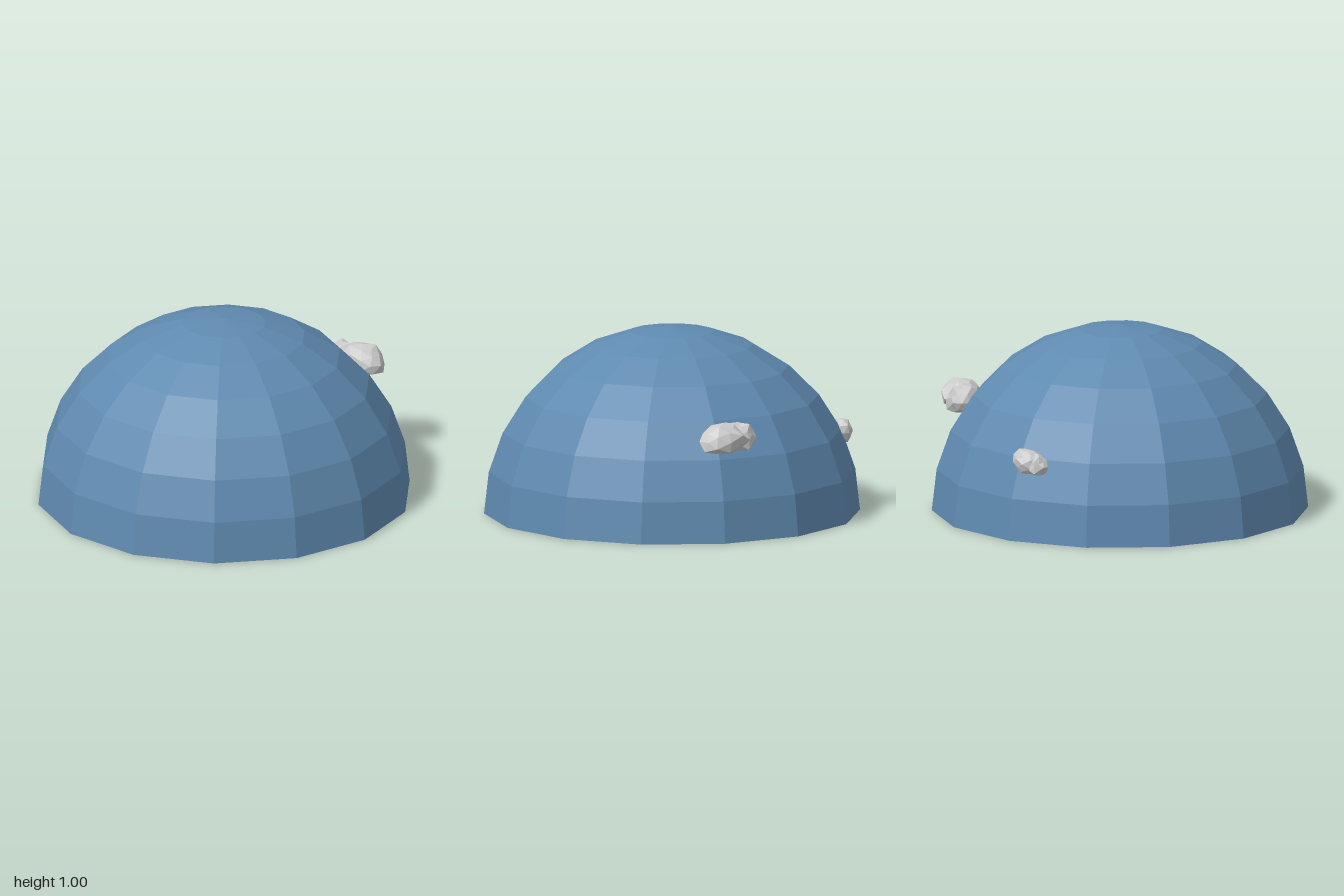
import * as THREE from 'three';

const rockMaterial = new THREE.MeshStandardMaterial({ color: 0xcccccc, flatShading: true });

// Repeatable value in 0..1 for a direction, so that shared corners move together
function hash(v, seed) {
  const s = Math.sin(Math.round(v.x * 100) * 12.99 + Math.round(v.y * 100) * 78.23
    + Math.round(v.z * 100) * 37.72 + seed * 5.13) * 4375.85;
  return s - Math.floor(s);
}

// Faceted lump with a cut-off flat base
function lump(name, center, radii, turn, base, seed) {
  const geometry = new THREE.IcosahedronGeometry(1, 1);
  const pos = geometry.attributes.position;
  const v = new THREE.Vector3();
  const up = new THREE.Vector3(0, 1, 0);
  for (let i = 0; i < pos.count; i++) {
    v.fromBufferAttribute(pos, i);
    v.multiplyScalar(0.8 + 0.28 * hash(v, seed));
    v.multiply(new THREE.Vector3(...radii)).applyAxisAngle(up, turn);
    v.add(new THREE.Vector3(...center));
    v.y = Math.max(v.y, base);
    pos.setXYZ(i, v.x, v.y, v.z);
  }
  geometry.computeVertexNormals();
  const mesh = new THREE.Mesh(geometry, rockMaterial);
  mesh.name = name;
  return mesh;
}

export function createModel() {
  const model = new THREE.Group();
  model.name = 'domeWithRocks';

  // Hollow fourteen-sided dome, open underneath
  const dome = new THREE.Mesh(
    new THREE.SphereGeometry(1, 14, 7, 0, Math.PI * 2, 0, Math.PI / 2),
    new THREE.MeshStandardMaterial({ color: 0x5f8ab0, flatShading: true, side: THREE.DoubleSide })
  );
  dome.name = 'dome';
  model.add(dome);

  // Large rock: a main lump with a smaller one beside it
  const largeRock = new THREE.Group();
  largeRock.name = 'largeRock';
  largeRock.add(
    lump('largeRockMain', [0.56, 0.545, -0.72], [0.145, 0.1, 0.11], -0.5, 0.48, 1),
    lump('largeRockSide', [0.44, 0.54, -0.745], [0.095, 0.095, 0.095], -0.3, 0.48, 2)
  );
  model.add(largeRock);

  // Small rock
  const smallRock = new THREE.Group();
  smallRock.name = 'smallRock';
  smallRock.add(
    lump('smallRockMain', [-0.605, 0.415, -0.675], [0.09, 0.08, 0.06], 0.8, 0.36, 3),
    lump('smallRockSide', [-0.66, 0.405, -0.63], [0.055, 0.065, 0.055], 0.8, 0.36, 4)
  );
  model.add(smallRock);

  return model;
}
